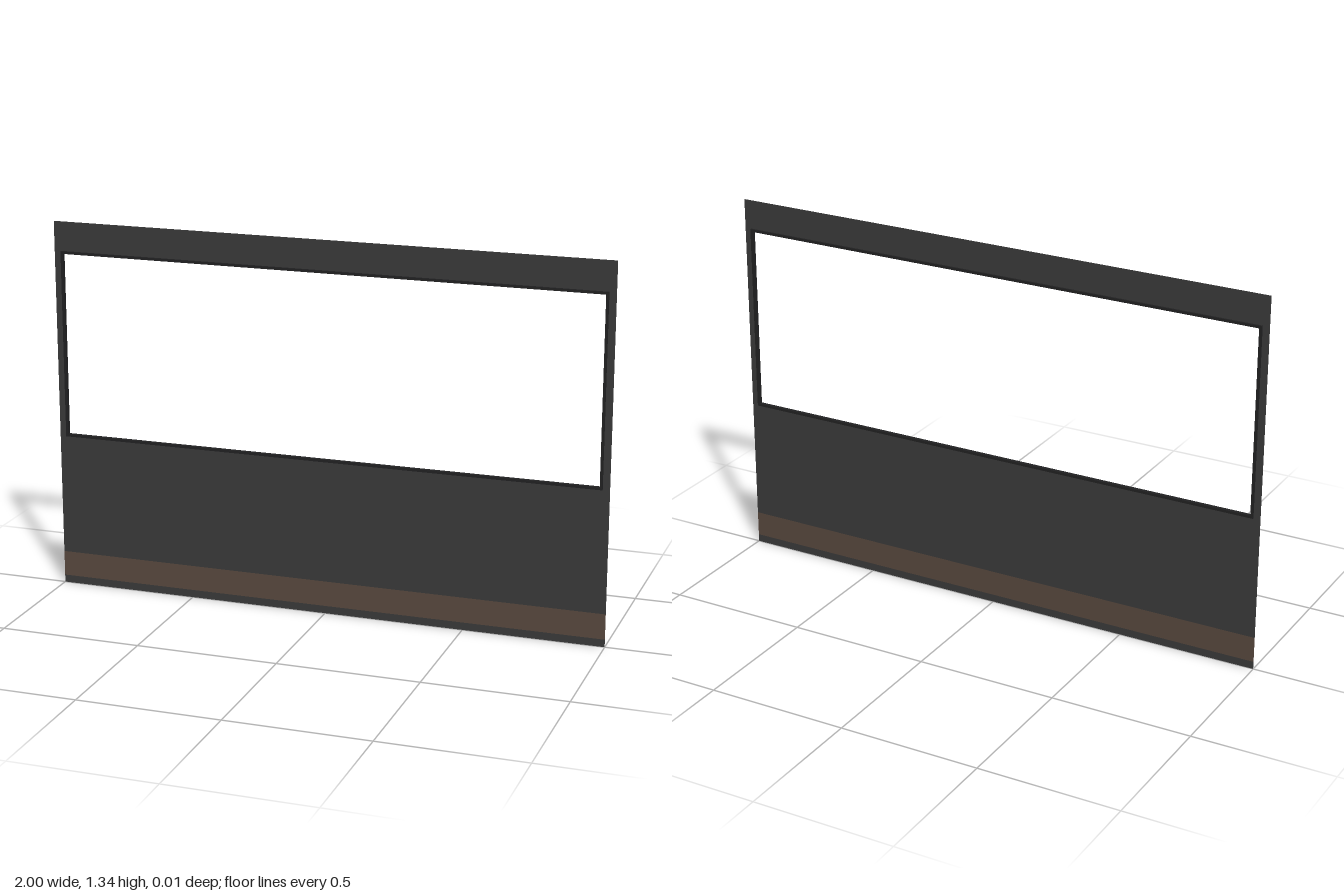
import * as THREE from 'three';

export function createModel() {
  const group = new THREE.Group();
  const mat = (name, color, side = THREE.FrontSide) => {
    const m = new THREE.MeshStandardMaterial({ color, side });
    m.name = name;
    return m;
  };
  const charcoal = mat('charcoal', 0x3b3b3b, THREE.DoubleSide);
  const brown = mat('brown', 0x5a4a40, THREE.DoubleSide);
  const black = mat('black', 0x222223);

  const add = (name, geometry, material) => {
    const mesh = new THREE.Mesh(geometry, material);
    mesh.name = name;
    group.add(mesh);
    return mesh;
  };

  // Rectangle outline, half width w, from y0 up to y1
  const rect = (w, y0, y1, Type = THREE.Shape) => {
    const r = new Type();
    r.moveTo(-w, y0);
    r.lineTo(w, y0);
    r.lineTo(w, y1);
    r.lineTo(-w, y1);
    r.closePath();
    return r;
  };
  const stripeBottom = 0.027, stripeTop = 0.118, top = 1.335;

  // Thin wall sheet with the wide window opening
  const wall = rect(1, stripeTop, top);
  wall.holes.push(rect(0.97, 0.56, 1.226, THREE.Path));
  add('wallPanel', new THREE.ShapeGeometry(wall), charcoal);

  // Brown band and the dark edge below it, flush with the wall
  add('lowerStripe', new THREE.ShapeGeometry(rect(1, stripeBottom, stripeTop)), brown);
  add('bottomEdge', new THREE.ShapeGeometry(rect(1, 0, stripeBottom)), charcoal);

  // Slim trim around the opening, standing proud on both sides
  const depth = 0.014;
  const trim = rect(0.975, 0.556, 1.23);
  trim.holes.push(rect(0.966, 0.565, 1.221, THREE.Path));
  const trimGeometry = new THREE.ExtrudeGeometry(trim, { depth, bevelEnabled: false });
  trimGeometry.translate(0, 0, -depth / 2);
  add('windowTrim', trimGeometry, black);

  return group;
}
